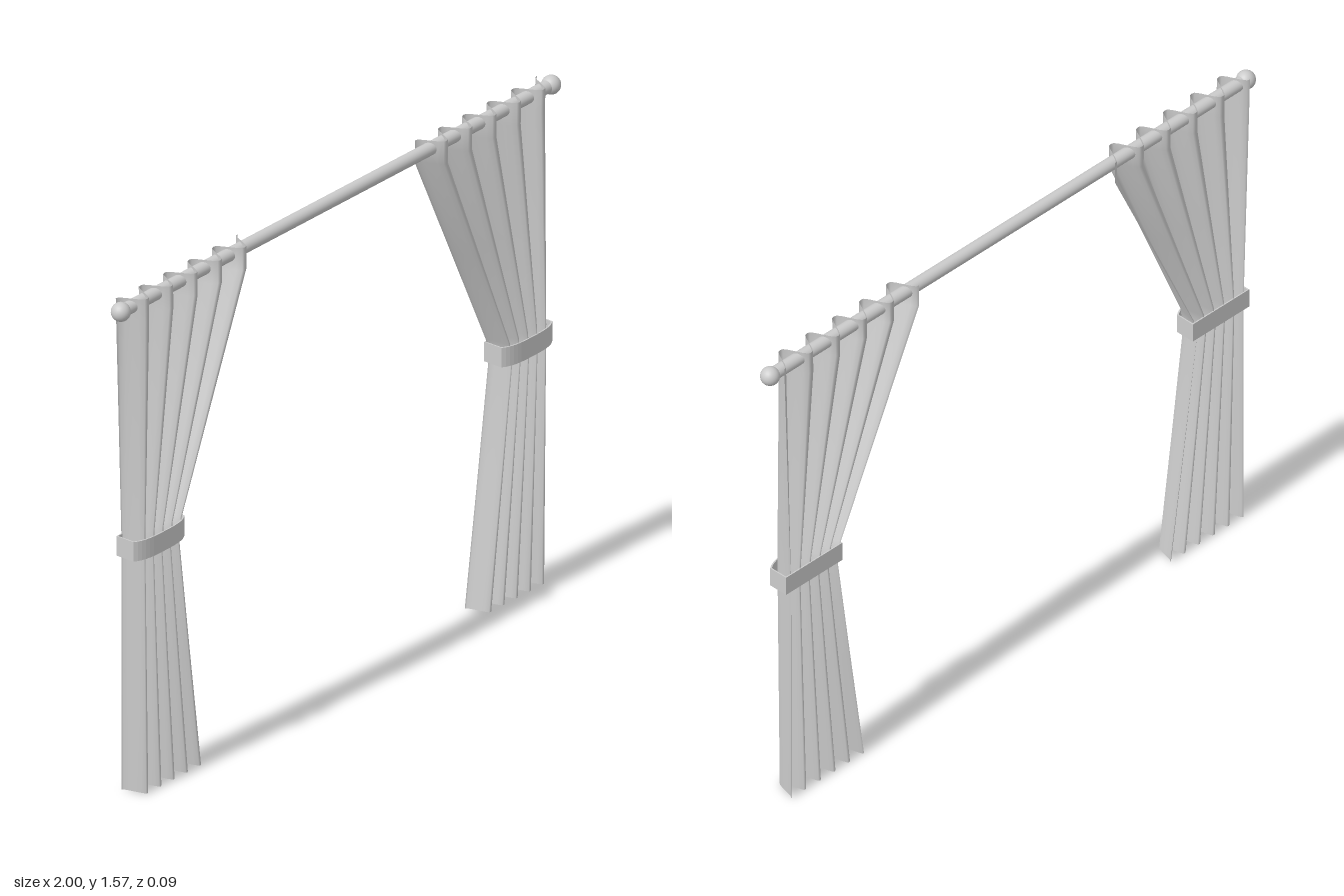
import * as THREE from 'three';

const grey = new THREE.MeshStandardMaterial({ color: 0xcccccc });
const cloth = new THREE.MeshStandardMaterial({ color: 0xcccccc, side: THREE.DoubleSide });

const FOLDS = 5, STEPS = 12;
// Height, inner edge x and outer edge x of the cloth
const ROWS = [
  [1.572, 0.4, 0.95], [1.5, 0.4, 0.948], [1.15, 0.565, 0.936], [0.82, 0.72, 0.925],
  [0.75, 0.732, 0.923], [0.38, 0.68, 0.923], [0, 0.625, 0.923],
];

function part(name, geometry, material, x = 0, y = 0, z = 0) {
  const mesh = new THREE.Mesh(geometry, material);
  mesh.name = name;
  mesh.position.set(x, y, z);
  return mesh;
}

// Pleated sheet: a wave from back to front, gathered row by row
function clothGeometry(side) {
  const columns = FOLDS * STEPS;
  const g = new THREE.PlaneGeometry(1, 1, columns, ROWS.length - 1);
  const p = g.attributes.position;
  for (let r = 0; r < ROWS.length; r++) {
    const [y, inner, outer] = ROWS[r];
    for (let c = 0; c <= columns; c++) {
      const t = side > 0 ? c / columns : 1 - c / columns;
      const wave = THREE.MathUtils.clamp(1.08 * Math.cos(t * FOLDS * Math.PI * 2), -1, 1);
      p.setXYZ(r * (columns + 1) + c, side * (inner + (outer - inner) * t), y, -0.004 - 0.036 * wave);
    }
  }
  g.computeVertexNormals();
  return g;
}

// Closed band outline: flat back, short sides and a bowed front
function bandOutline(w, back, sideZ, front) {
  const s = new THREE.Shape();
  s.moveTo(-w, back);
  s.lineTo(w, back);
  s.lineTo(w, sideZ);
  s.bezierCurveTo(w * 0.75, front, w * 0.4, front, 0, front);
  s.bezierCurveTo(-w * 0.4, front, -w * 0.75, front, -w, sideZ);
  s.closePath();
  return s;
}

function bandGeometry() {
  const outline = bandOutline(0.115, -0.042, 0.022, 0.044);
  outline.holes.push(bandOutline(0.111, -0.038, 0.019, 0.04));
  const g = new THREE.ExtrudeGeometry(outline, { depth: 0.062, bevelEnabled: false, curveSegments: 8 });
  // Stand the extrusion upright, keeping the bowed side to the front
  return g.rotateX(Math.PI / 2).translate(0, 0.031, 0);
}

export function createModel() {
  const model = new THREE.Group();
  model.name = 'curtains';

  const rod = new THREE.CylinderGeometry(0.02, 0.02, 1.93, 24).rotateZ(Math.PI / 2);
  model.add(part('rod', rod, grey, 0, 1.545, -0.008));

  for (const side of [-1, 1]) {
    const label = side > 0 ? 'left' : 'right';
    model.add(part(label + 'Finial', new THREE.SphereGeometry(0.029, 24, 16), grey, side * 0.971, 1.545, -0.008));
    model.add(part(label + 'Curtain', clothGeometry(side), cloth, -0.005));
    model.add(part(label + 'Tieback', bandGeometry(), cloth, side * 0.83 - 0.005, 0.783, 0));
  }
  return model;
}
